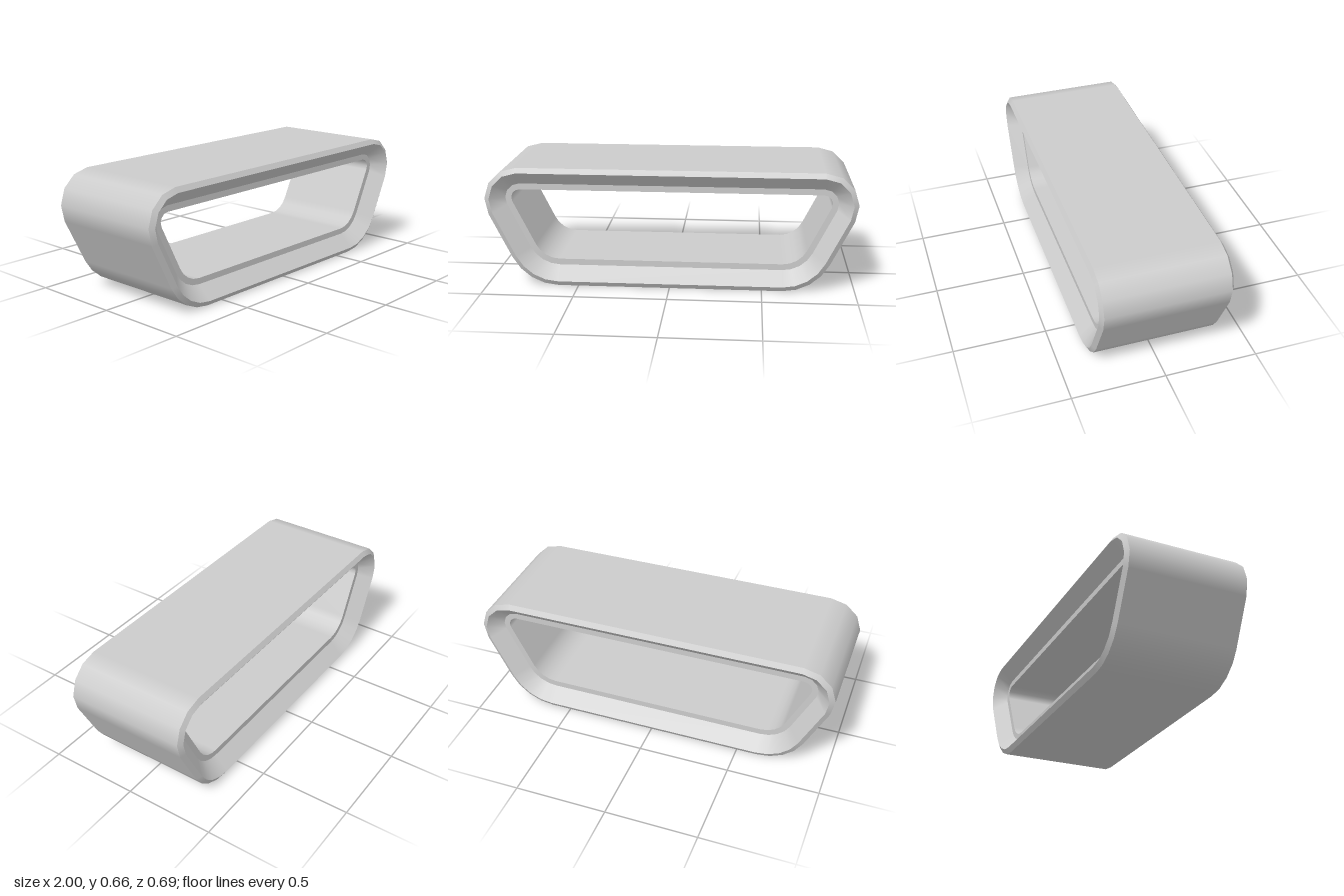
import * as THREE from 'three';

// Rounded trapezoid outline, counter-clockwise: points with their outward normals
function outline() {
  const lean = -Math.atan(0.5);
  const corners = [
    { x: 0.61, y: 0.28, r: 0.28, from: -Math.PI / 2, to: lean },
    { x: 0.82, y: 0.477, r: 0.18, from: lean, to: Math.PI / 2 },
  ];
  const half = [];
  for (const c of corners) {
    for (let i = 0; i <= 4; i++) {
      const a = c.from + (c.to - c.from) * i / 4;
      const nx = Math.cos(a), ny = Math.sin(a);
      half.push({ x: c.x + c.r * nx, y: c.y + c.r * ny, nx, ny });
    }
  }
  const mirrored = half.map(p => ({ ...p, x: -p.x, nx: -p.nx })).reverse();
  return [...half, ...mirrored];
}

// Band around the outline between two [inset, z] stations
function band(loop, a, b) {
  const di = b[0] - a[0], dz = b[1] - a[1], len = Math.hypot(di, dz);
  const pos = [], nor = [], idx = [], n = loop.length;
  for (const [inset, z] of [a, b]) {
    for (const p of loop) {
      pos.push(p.x - p.nx * inset, p.y - p.ny * inset, z);
      nor.push(p.nx * dz / len, p.ny * dz / len, di / len);
    }
  }
  for (let i = 0; i < n; i++) {
    const j = (i + 1) % n;
    idx.push(i, j, n + j, i, n + j, n + i);
  }
  const g = new THREE.BufferGeometry();
  g.setAttribute('position', new THREE.Float32BufferAttribute(pos, 3));
  g.setAttribute('normal', new THREE.Float32BufferAttribute(nor, 3));
  g.setIndex(idx);
  return g;
}

export function createModel() {
  const group = new THREE.Group();
  group.name = 'trapezoidSleeve';
  const material = new THREE.MeshStandardMaterial({ color: 0xcccccc });
  const loop = outline();
  const add = (name, a, b) => {
    const mesh = new THREE.Mesh(band(loop, a, b), material);
    mesh.name = name;
    group.add(mesh);
  };

  // Wall section from the outer edge to the opening: [inset, z]
  const section = [[0, 0.328], [0.027, 0.345], [0.1, 0.27], [0.133, 0.27]];
  const parts = ['Chamfer', 'Funnel', 'Shelf'];
  const flip = ([inset, z]) => [inset, -z];

  add('outerWall', flip(section[0]), section[0]);
  add('innerWall', section[3], flip(section[3]));

  // Matching rims at both ends
  parts.forEach((part, i) => {
    add('front' + part, section[i], section[i + 1]);
    add('back' + part, flip(section[i + 1]), flip(section[i]));
  });
  return group;
}
